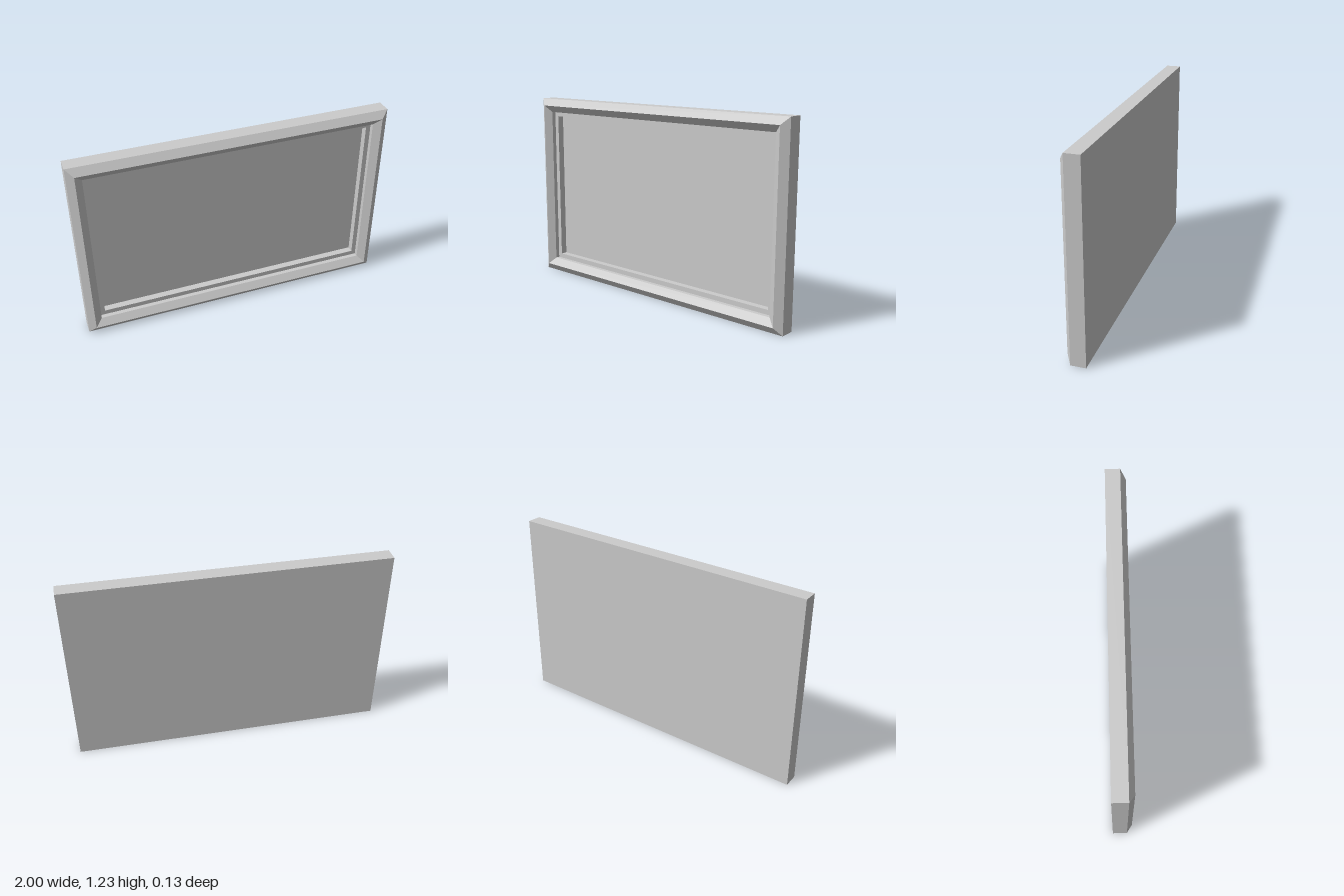
import * as THREE from 'three';

const W = 2, H = 1.23, BACK = -0.063, PANEL_Z = -0.04, PANEL_INSET = 0.12;
const grey = new THREE.MeshStandardMaterial({ color: 0xcccccc, flatShading: true });

// Sweeps a profile of [inset, z] points round the rectangle with mitred corners.
function mitredSweep(name, profile) {
  const corner = (i, [inset, z]) => {
    const sx = i % 4 === 1 || i % 4 === 2 ? 1 : -1;
    const sy = i % 4 >= 2 ? 1 : -1;
    return [sx * (W / 2 - inset), H / 2 + sy * (H / 2 - inset), z];
  };
  const pos = [];
  for (let j = 0; j < profile.length - 1; j++) {
    for (let i = 0; i < 4; i++) {
      const a = corner(i, profile[j]), b = corner(i + 1, profile[j]);
      const c = corner(i + 1, profile[j + 1]), d = corner(i, profile[j + 1]);
      pos.push(...a, ...b, ...c, ...a, ...c, ...d);
    }
  }
  const geo = new THREE.BufferGeometry();
  geo.setAttribute('position', new THREE.Float32BufferAttribute(pos, 3));
  geo.computeVertexNormals();
  const mesh = new THREE.Mesh(geo, grey);
  mesh.name = name;
  return mesh;
}

function sheet(name, inset, z, facesBack) {
  const mesh = new THREE.Mesh(new THREE.PlaneGeometry(W - 2 * inset, H - 2 * inset), grey);
  mesh.position.set(0, H / 2, z);
  if (facesBack) mesh.rotation.y = Math.PI;
  mesh.name = name;
  return mesh;
}

export function createModel() {
  const group = new THREE.Group();
  group.name = 'pictureFrame';

  // Outer moulding: straight side, bevel up to the ridge, bevel down, short step
  group.add(mitredSweep('moulding', [
    [0, BACK], [0, 0.03], [0.046, 0.063], [0.09, 0.03], [0.09, 0.003],
  ]));

  // Flat inner lip and its drop to the picture panel
  group.add(mitredSweep('innerLip', [
    [0.09, 0.003], [PANEL_INSET, 0.003], [PANEL_INSET, PANEL_Z],
  ]));

  // Recessed picture panel and flat back
  group.add(sheet('picturePanel', PANEL_INSET, PANEL_Z, false));
  group.add(sheet('backBoard', 0, BACK, true));
  return group;
}
